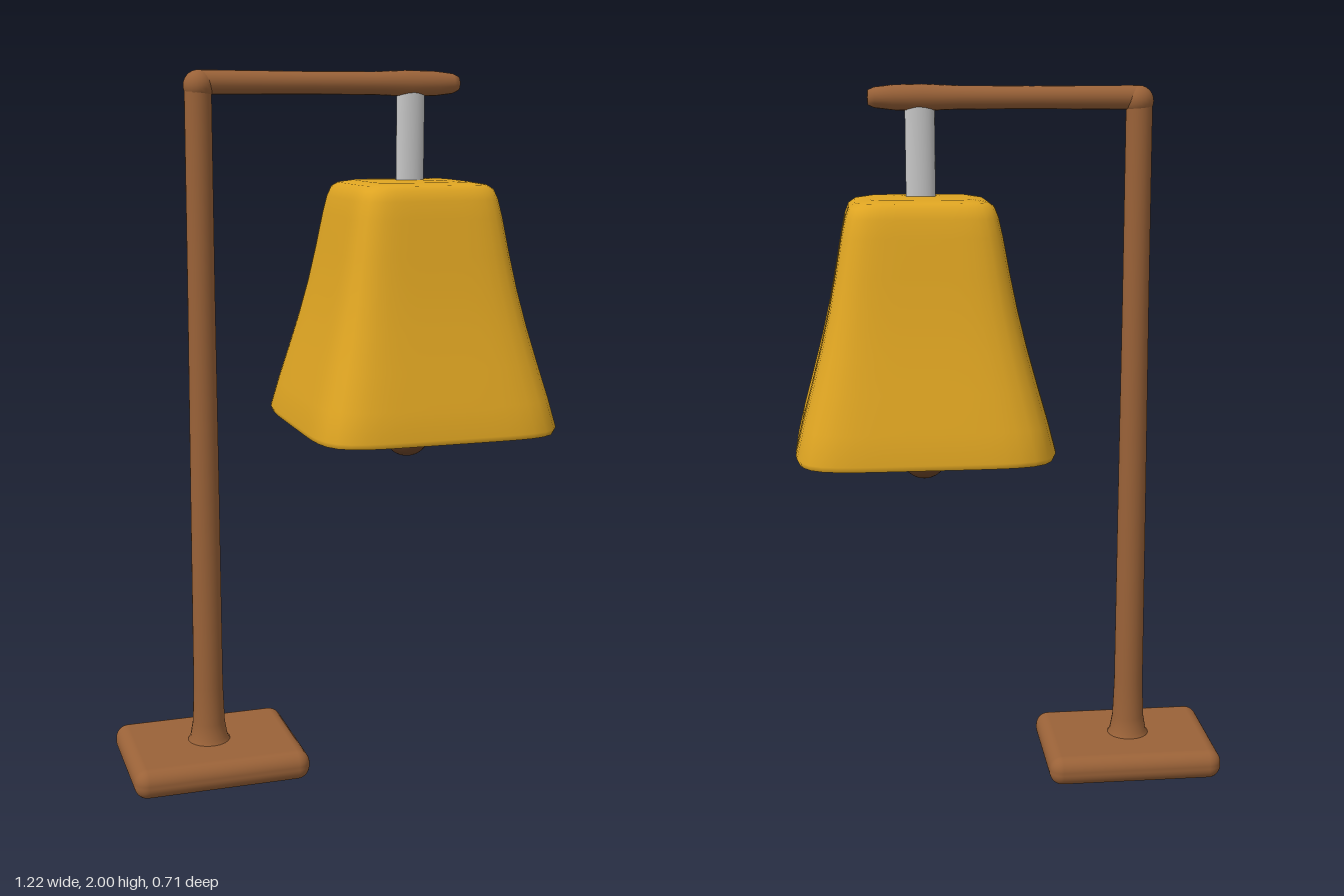
import * as THREE from 'three';
import { RoundedBoxGeometry } from 'three/addons/geometries/RoundedBoxGeometry.js';

const material = (name, color) => {
  const m = new THREE.MeshStandardMaterial({ color });
  m.name = name;
  return m;
};

// Rounded-square tower from [half width, height] rings, outward faces
function squareLoft(rings, power, segments = 72) {
  const pos = [], index = [];
  for (const [w, y] of rings) {
    for (let i = 0; i < segments; i++) {
      const a = (i / segments) * Math.PI * 2, c = Math.cos(a), s = Math.sin(a);
      const r = w / Math.pow(Math.abs(c) ** power + Math.abs(s) ** power, 1 / power);
      pos.push(r * c, y, r * s);
    }
  }
  for (let j = 0; j < rings.length - 1; j++) {
    for (let i = 0; i < segments; i++) {
      const k = (i + 1) % segments;
      const a = j * segments + i, b = j * segments + k;
      const c = a + segments, d = b + segments;
      index.push(a, c, b, b, c, d);
    }
  }
  const g = new THREE.BufferGeometry();
  g.setAttribute('position', new THREE.Float32BufferAttribute(pos, 3));
  g.setIndex(index);
  g.computeVertexNormals();
  return g;
}

const lathe = (points, sides = 20) =>
  new THREE.LatheGeometry(points.map(([r, y]) => new THREE.Vector2(r, y)), sides);

export function createModel() {
  const group = new THREE.Group();
  const wood = material('warm brown wood', 0x9a6238);
  const yellow = material('golden yellow', 0xdfa522);
  const grey = material('light grey', 0xc8c8c8);
  const dark = material('dark brown', 0x6e4629);

  const add = (name, geometry, mat, x = 0, y = 0, z = 0) => {
    const mesh = new THREE.Mesh(geometry, mat);
    mesh.name = name;
    mesh.position.set(x, y, z);
    group.add(mesh);
    return mesh;
  };

  // Soft-edged foot plate
  add('base', new RoundedBoxGeometry(0.51, 0.085, 0.39, 5, 0.038), wood, -0.355, 0.0425, 0);

  // Upright with a small flare at the foot
  add('post', lathe([[0.068, 0.075], [0.055, 0.095], [0.047, 0.14], [0.043, 0.25],
    [0.041, 0.8], [0.038, 1.4], [0.037, 1.955]]), wood, -0.36);

  // Rounded bend and horizontal arm
  add('elbow', new THREE.SphereGeometry(0.042, 20, 14), wood, -0.358, 1.956, 0);
  const arm = add('arm', lathe([[0.033, 0], [0.031, 0.3], [0.032, 0.5], [0.036, 0.6],
    [0.034, 0.68], [0.028, 0.73], [0.02, 0.748], [0, 0.75]]), wood, -0.36, 1.965, 0);
  arm.rotation.z = -Math.PI / 2;

  // Flattened hanger rod
  const hanger = add('hanger', new THREE.CylinderGeometry(0.041, 0.041, 0.27, 20), grey, 0.247, 1.815, 0);
  hanger.scale.z = 0.6;

  // Lampshade with gently concave sides and a softened top
  add('shade', squareLoft([[0.35, 1.005], [0.356, 1.02], [0.336, 1.1], [0.308, 1.2], [0.281, 1.3],
    [0.257, 1.4], [0.237, 1.5], [0.219, 1.6], [0.208, 1.65], [0.197, 1.678], [0.18, 1.69],
    [0.14, 1.697], [0.001, 1.7]], 6), yellow, 0.25);

  // Closed underside of the shade
  add('shadeUnderside', squareLoft([[0.001, 1.004], [0.35, 1.005]], 6), dark, 0.25);

  // Bulb peeking out below
  add('bulb', new THREE.SphereGeometry(0.067, 24, 16), dark, 0.247, 0.965, 0);

  return group;
}
